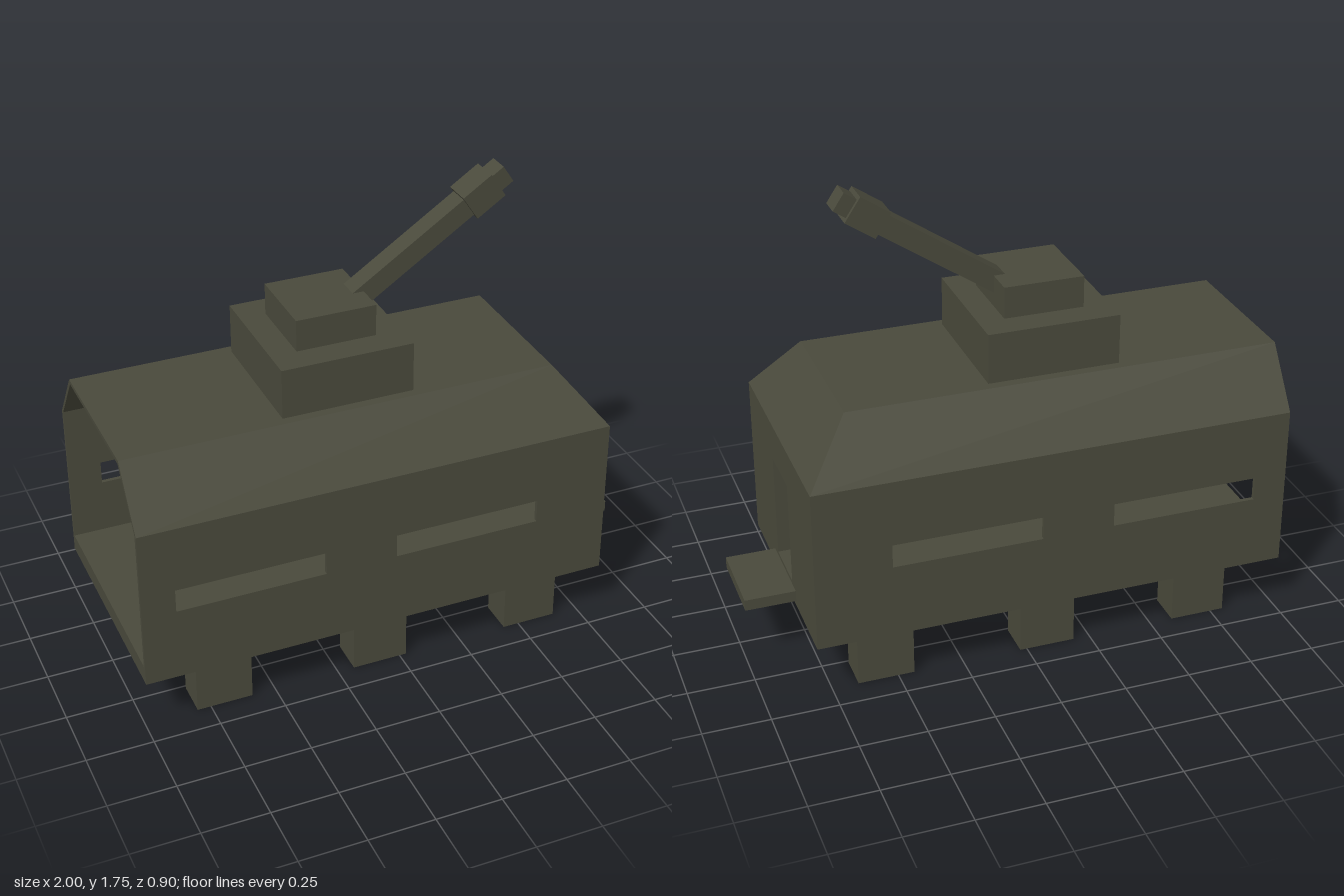
import * as THREE from 'three';

const olive = new THREE.MeshStandardMaterial({ color: 0x4a4a3c });
olive.name = 'olive drab';

// Hull measurements
const BACK = -1, FRONT = 0.81, HALF = 0.45, BOTTOM = 0.22, EAVE = 0.845, TOP = 1.06;
const RIDGE_X = 0.64, RIDGE_Z = 0.295, SIDE_T = 0.016, FRONT_T = 0.05;

function add(parent, name, geometry) {
  const mesh = new THREE.Mesh(geometry, olive);
  mesh.name = name;
  parent.add(mesh);
  return mesh;
}

// Box given by its limits on each axis
function box(parent, name, [x0, x1], [y0, y1], [z0, z1]) {
  const mesh = add(parent, name, new THREE.BoxGeometry(x1 - x0, y1 - y0, z1 - z0));
  mesh.position.set((x0 + x1) / 2, (y0 + y1) / 2, (z0 + z1) / 2);
  return mesh;
}

// Flat wall with rectangular openings
function wall(x0, x1, y0, y1, holes, depth) {
  const rect = (path, a, b, c, d) => path.moveTo(a, c).lineTo(b, c).lineTo(b, d).lineTo(a, d).closePath();
  const shape = rect(new THREE.Shape(), x0, x1, y0, y1);
  for (const h of holes) shape.holes.push(rect(new THREE.Path(), ...h));
  return new THREE.ExtrudeGeometry(shape, { depth, bevelEnabled: false });
}

// Hollow hipped roof, open at the back
function roofGeometry() {
  const ring = (side, front, drop) => ({
    eaveR: [BACK, EAVE, HALF - side], eaveRF: [FRONT - front, EAVE, HALF - side],
    eaveL: [BACK, EAVE, side - HALF], eaveLF: [FRONT - front, EAVE, side - HALF],
    topR: [BACK, TOP - drop, RIDGE_Z - side / 2], topRF: [RIDGE_X - front / 2, TOP - drop, RIDGE_Z - side / 2],
    topL: [BACK, TOP - drop, side / 2 - RIDGE_Z], topLF: [RIDGE_X - front / 2, TOP - drop, side / 2 - RIDGE_Z],
  });
  const o = ring(0, 0, 0), i = ring(SIDE_T, FRONT_T, SIDE_T);
  const positions = [];
  const quad = (a, b, c, d) => positions.push(...a, ...b, ...c, ...a, ...c, ...d);
  const faces = [
    ['eaveR', 'eaveRF', 'topRF', 'topR'],
    ['topR', 'topRF', 'topLF', 'topL'],
    ['topL', 'topLF', 'eaveLF', 'eaveL'],
    ['eaveRF', 'eaveLF', 'topLF', 'topRF'],
  ];
  for (const f of faces) {
    quad(...f.map((k) => o[k]));
    quad(...f.map((k) => i[k]).reverse());
  }
  // Rim of the rear opening
  const rim = ['eaveR', 'topR', 'topL', 'eaveL'];
  for (let k = 0; k < 3; k++) quad(o[rim[k]], o[rim[k + 1]], i[rim[k + 1]], i[rim[k]]);
  const g = new THREE.BufferGeometry();
  g.setAttribute('position', new THREE.Float32BufferAttribute(positions, 3));
  g.computeVertexNormals();
  return g;
}

export function createModel() {
  const model = new THREE.Group();
  model.name = 'armouredCarrier';

  // Hull
  const hull = new THREE.Group();
  hull.name = 'hull';
  model.add(hull);
  const inner = HALF - SIDE_T;
  box(hull, 'floor', [BACK, FRONT - FRONT_T], [BOTTOM, 0.29], [-inner, inner]);
  const slits = [[-0.875, -0.313, 0.502, 0.592], [-0.04, 0.525, 0.502, 0.592]];
  for (const z of [inner, -HALF]) {
    add(hull, 'sideWall', wall(BACK, FRONT, BOTTOM, EAVE, slits, SIDE_T)).position.z = z;
  }
  const endWall = add(hull, 'doorWall', wall(-inner, inner, BOTTOM, EAVE, [[-0.105, 0.105, 0.298, 0.697]], FRONT_T));
  endWall.rotation.y = Math.PI / 2;
  endWall.position.x = FRONT - FRONT_T;
  add(hull, 'roof', roofGeometry());
  box(hull, 'doorStep', [FRONT, 1], [0.24, 0.283], [-0.155, 0.155]);

  // Six block feet
  for (const x of [-0.695, -0.08, 0.545]) {
    for (const z of [-0.33, 0.33]) {
      box(model, 'foot', [x - 0.106, x + 0.106], [0, BOTTOM], [z - 0.067, z + 0.067]);
    }
  }

  // Turret
  const turret = new THREE.Group();
  turret.name = 'turret';
  model.add(turret);
  box(turret, 'turretBase', [-0.395, 0.103], [TOP, 1.25], [-0.259, 0.259]);
  box(turret, 'turretTop', [-0.297, 0.005], [1.25, 1.37], [-0.152, 0.152]);

  // Raised gun, built along its own x axis
  const gun = new THREE.Group();
  gun.name = 'gun';
  gun.position.set(-0.03, 1.328, 0);
  gun.rotation.z = 0.588;
  turret.add(gun);
  box(gun, 'barrel', [0, 0.54], [-0.039, 0.039], [-0.041, 0.041]);
  box(gun, 'collar', [0.53, 0.66], [-0.053, 0.053], [-0.055, 0.055]);
  box(gun, 'muzzle', [0.655, 0.714], [-0.037, 0.037], [-0.041, 0.041]);
  return model;
}
